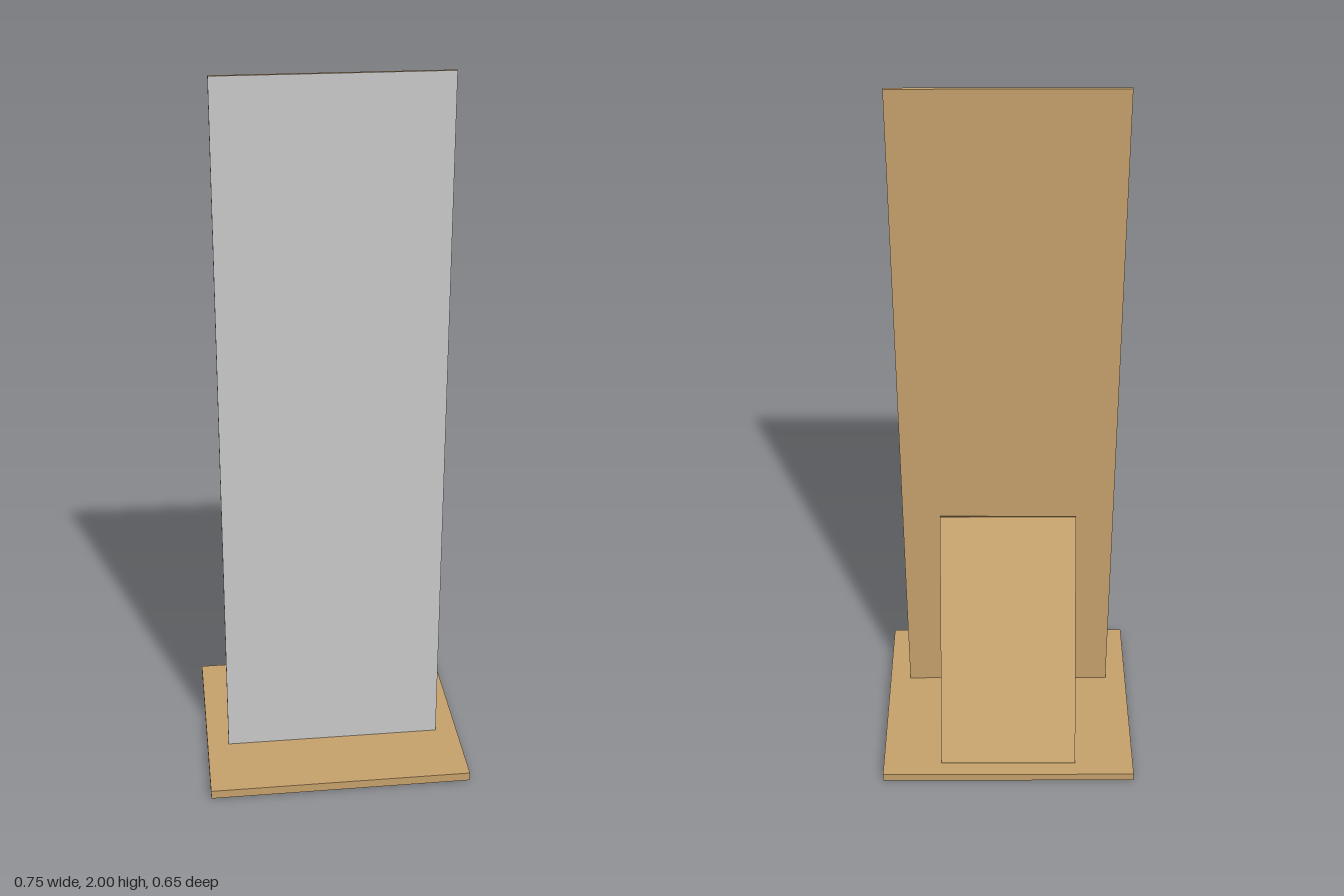
import * as THREE from 'three';

const wood = new THREE.MeshStandardMaterial({ color: 0xc8a46e });
const grey = new THREE.MeshStandardMaterial({ color: 0xcccccc });

function board(name, size, position) {
  const mesh = new THREE.Mesh(new THREE.BoxGeometry(...size), wood);
  mesh.name = name;
  mesh.position.set(...position);
  return mesh;
}

export function createModel() {
  const group = new THREE.Group();
  group.name = 'standingPanel';

  // Flat foot and upright board
  group.add(board('base', [0.746, 0.025, 0.646], [0, 0.0125, 0]));
  group.add(board('panel', [0.622, 1.975, 0.01], [0, 1.0125, 0.0985]));

  // Grey sheet covering the front of the upright board
  const sheet = new THREE.Mesh(new THREE.PlaneGeometry(0.622, 1.975), grey);
  sheet.name = 'frontSheet';
  sheet.position.set(0, 1.0125, 0.104);
  group.add(sheet);

  // Sloping brace behind the board, leaning forward at the top
  const brace = board('brace', [0.4, 0.746, 0.0155], [0, 0.357, -0.1015]);
  brace.rotation.x = THREE.MathUtils.degToRad(27.9);
  group.add(brace);

  return group;
}
